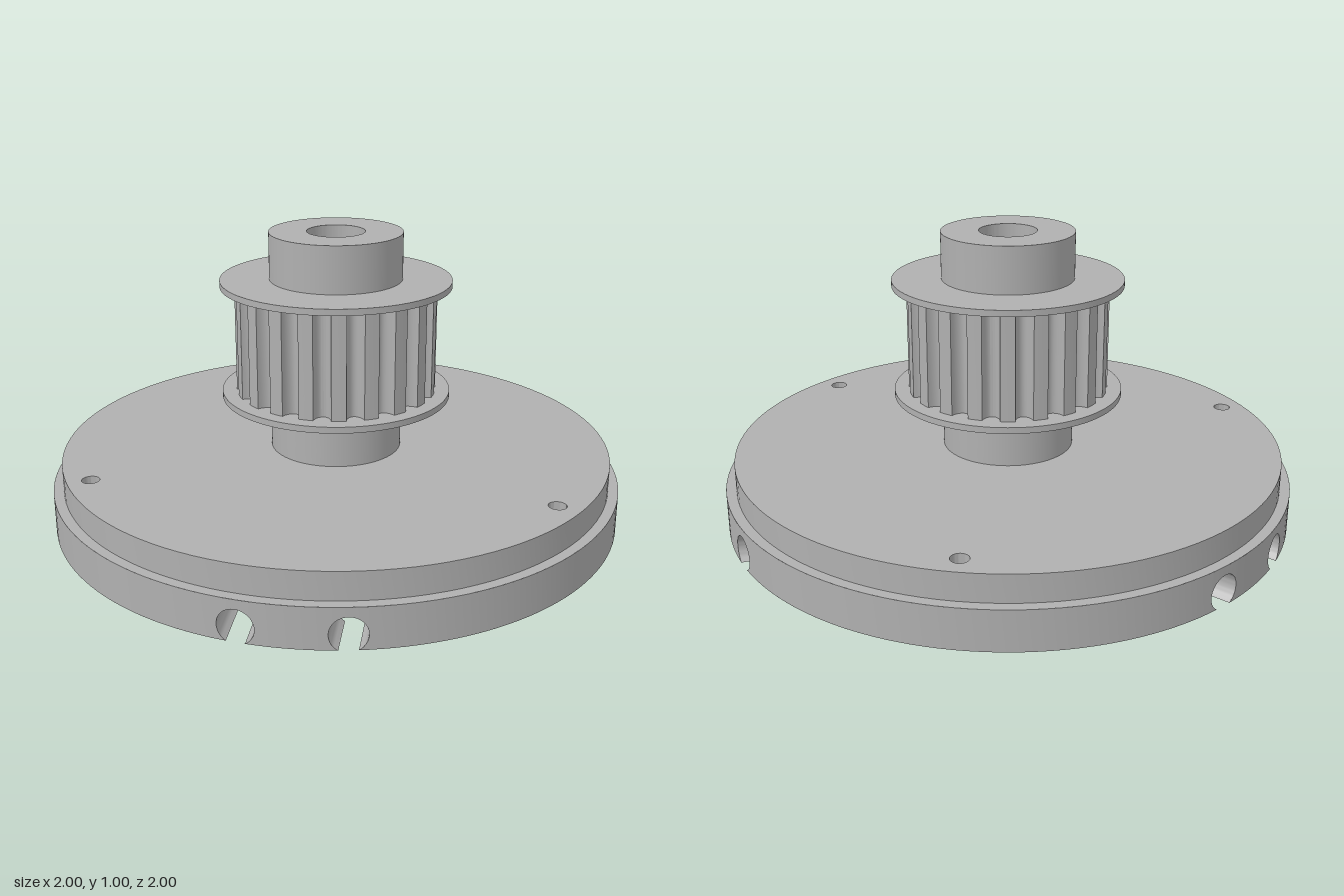
import * as THREE from 'three';
import { toCreasedNormals } from 'three/addons/utils/BufferGeometryUtils.js';
import { ParametricGeometry } from 'three/addons/geometries/ParametricGeometry.js';

const PI = Math.PI;
const grey = new THREE.MeshStandardMaterial({ color: 0xb0b0b0, side: THREE.DoubleSide });
grey.name = 'grey';

// Main sizes
const BORE = 0.1, RIM = 0.14, TOP = 0.235, STEP_R = 0.965, HUB = 0.23;
// Channels: radius, side offset, centre height, inner end
const CR = 0.058, CV = 0.165, CY = 0.05, C_END = 0.55;
const LIP = Math.sqrt(CR * CR - CY * CY);          // half width of the opening underneath
const LIP_A = Math.atan2(-CY, LIP);                // angle of the outer lip
// Shallow box between the channels, deep pocket inside it
const BOX0 = 0.53, BOX1 = 0.83;
const DEEP = { v: 0.1, u0: 0.58, u1: 0.77, y: 0.13 };

function add(parent, name, geometry) {
  const mesh = new THREE.Mesh(geometry, grey);
  mesh.name = name;
  parent.add(mesh);
  return mesh;
}

const lathe = pts => toCreasedNormals(
  new THREE.LatheGeometry(pts.map(p => new THREE.Vector2(...p)), 120), 0.5);

const patch = (fn, nu, nv) => toCreasedNormals(new ParametricGeometry(fn, nu, nv), 0.5);

const circlePath = (x, y, r) => new THREE.Path().absarc(x, y, r, 0, 2 * PI, false);

const shapeOf = pts => new THREE.Shape(pts.map(p => new THREE.Vector2(...p)));

// Flat face looking down at height y; shape coordinates are x and z
const downFace = (shape, y) => new THREE.ShapeGeometry(shape, 48).rotateX(PI / 2).translate(0, y, 0);

// Strip of the outer rim; angle(s) runs around, low(s) and high(s) bound its height
const rimStrip = (angle, low, high, n) => patch((s, t, p) => {
  const a = angle(s);
  p.set(Math.sin(a), low(s) + (high(s) - low(s)) * t, Math.cos(a));
}, n, 1);

function wall(parent, name, w, h, x, y, z, ry) {
  const m = add(parent, name, new THREE.PlaneGeometry(w, h));
  m.position.set(x, y, z);
  m.rotation.y = ry;
}

// Underside with three notched slots
function makeUnderside() {
  const pts = [], edge = CV + LIP, uRim = Math.sqrt(1 - edge * edge), a0 = Math.asin(edge);
  const half = [[edge, uRim], [edge, C_END], [CV, C_END], [CV, BOX0]];
  const slot = [...half.map(([v, u]) => [-v, u]), ...half.slice().reverse()];
  for (let k = 0; k < 3; k++) {
    const f = k * 2 * PI / 3, c = Math.cos(f), s = Math.sin(f);
    slot.forEach(([v, u]) => pts.push([v * c + u * s, -v * s + u * c]));
    for (let i = 1; i < 40; i++) {
      const a = f + a0 + (2 * PI / 3 - 2 * a0) * i / 40;
      pts.push([Math.sin(a), Math.cos(a)]);
    }
  }
  const shape = shapeOf(pts);
  shape.holes.push(circlePath(0, 0, BORE));
  return downFace(shape, 0);
}

// Half of a slot: one round channel with its rim opening
function makeChannel() {
  const g = new THREE.Group();
  g.name = 'channel';
  const tube = (a1, uStart, uEnd) => patch((s, t, p) => {
    const a = LIP_A + (a1 - LIP_A) * t;
    const v = CV + CR * Math.cos(a), u0 = uStart, u1 = uEnd ?? Math.sqrt(1 - v * v);
    p.set(v, CY + CR * Math.sin(a), u0 + (u1 - u0) * s);
  }, 1, 40);
  add(g, 'channelInnerBore', tube(PI, C_END, BOX1));
  add(g, 'channelOuterBore', tube(PI - LIP_A, BOX1));

  const end = new THREE.CircleGeometry(CR, 36, -PI / 2, 1.5 * PI);
  const pos = end.attributes.position;
  for (let i = 0; i < pos.count; i++) pos.setY(i, Math.max(pos.getY(i), -CY));
  add(g, 'channelEnd', end.translate(CV, CY, C_END));
  wall(g, 'boxSide', C_END - BOX0, CY, CV, CY / 2, (BOX0 + C_END) / 2, -PI / 2);

  const angle = s => Math.asin(CV - CR * Math.cos(PI * s));
  const h = s => CR * Math.sin(PI * s);
  add(g, 'rimBelowChannel', rimStrip(angle, () => 0, s => Math.max(0, CY - h(s)), 32));
  add(g, 'rimAboveChannel', rimStrip(angle, s => CY + h(s), () => RIM, 32));
  return g;
}

// Complete slot, pointing along +z
function makeSlot() {
  const g = new THREE.Group();
  g.name = 'slot';
  const right = makeChannel(), left = makeChannel();
  left.scale.x = -1;
  g.add(right, left);

  // Rim between the channels and on to the next slot
  const aIn = Math.asin(CV - CR), aOut = Math.asin(CV + CR);
  add(g, 'rimBetweenChannels', rimStrip(s => -aIn + 2 * aIn * s, () => 0, () => RIM, 8));
  add(g, 'rimWall', rimStrip(s => aOut + (2 * PI / 3 - 2 * aOut) * s, () => 0, () => RIM, 40));

  // Land between the channels at the rim
  const lv = CV - LIP, land = [[-lv, BOX1], [lv, BOX1]];
  for (let i = 0; i <= 8; i++) {
    const v = lv - 2 * lv * i / 8;
    land.push([v, Math.sqrt(1 - v * v)]);
  }
  add(g, 'land', downFace(shapeOf(land), 0));

  const face = new THREE.Shape();
  face.moveTo(-lv, 0);
  face.lineTo(lv, 0);
  face.absarc(CV, CY, CR, PI - LIP_A, PI, true);
  face.lineTo(-CV + CR, CY);
  face.absarc(-CV, CY, CR, 0, LIP_A, true);
  add(g, 'landInnerWall', new THREE.ShapeGeometry(face).rotateY(PI).translate(0, 0, BOX1));

  // Shallow box
  wall(g, 'boxEndWall', 2 * CV, CY, 0, CY / 2, BOX0, 0);
  const cv = CV - CR, { v, u0, u1, y } = DEEP;
  const ceiling = shapeOf([[-CV, BOX0], [CV, BOX0], [CV, C_END], [cv, C_END], [cv, BOX1],
    [-cv, BOX1], [-cv, C_END], [-CV, C_END]]);
  const deep = [[-v, u0], [-v, u1], [v, u1], [v, u0]];
  ceiling.holes.push(new THREE.Path(deep.map(p => new THREE.Vector2(...p))));
  add(g, 'boxCeiling', downFace(ceiling, CY));

  // Deep pocket
  const ym = (CY + y) / 2, um = (u0 + u1) / 2;
  add(g, 'pocketCeiling', downFace(shapeOf(deep), y));
  wall(g, 'pocketInnerWall', 2 * v, y - CY, 0, ym, u0, 0);
  wall(g, 'pocketOuterWall', 2 * v, y - CY, 0, ym, u1, PI);
  for (const s of [-1, 1]) wall(g, 'pocketSideWall', u1 - u0, y - CY, s * v, ym, um, -s * PI / 2);
  return g;
}

// Toothed belt wheel with rounded grooves
function makeTeeth(y0, y1) {
  const N = 20, R = 0.35, gw = 0.03, depth = 0.04, pts = [];
  for (let i = 0; i < N; i++) {
    const a = i * 2 * PI / N;
    for (let j = 0; j <= 10; j++) {
      const q = PI * j / 10, r = R - depth * Math.sin(q), b = a - (gw / R) * Math.cos(q);
      pts.push([r * Math.cos(b), r * Math.sin(b)]);
    }
    const mid = a + PI / N;
    pts.push([R * Math.cos(mid), R * Math.sin(mid)]);
  }
  const shape = shapeOf(pts);
  shape.holes.push(circlePath(0, 0, HUB));
  const geo = new THREE.ExtrudeGeometry(shape, { depth: y1 - y0, bevelEnabled: false, curveSegments: 32 });
  return toCreasedNormals(geo.rotateX(-PI / 2).translate(0, y0, 0), 0.6);
}

export function createModel() {
  const model = new THREE.Group();
  model.name = 'pulleyWithBasePlate';

  // Base disc
  add(model, 'underside', makeUnderside());
  for (let k = 0; k < 3; k++) {
    const slot = makeSlot();
    slot.rotation.y = k * 2 * PI / 3;
    model.add(slot);
  }
  add(model, 'discStep', lathe([[1, RIM], [STEP_R, RIM], [STEP_R, TOP]]));

  // Top face with three blind pin holes
  const top = new THREE.Shape().absarc(0, 0, STEP_R, 0, 2 * PI, false);
  top.holes.push(circlePath(0, 0, BORE));
  for (let k = 0; k < 3; k++) {
    const a = PI / 2 + k * 2 * PI / 3, x = 0.885 * Math.cos(a), y = 0.885 * Math.sin(a);
    top.holes.push(circlePath(x, y, 0.03));
    add(model, 'pinHole', lathe([[0.03, TOP], [0.03, TOP - 0.09], [0, TOP - 0.09]]).translate(x, 0, -y));
  }
  add(model, 'discTop', new THREE.ShapeGeometry(top, 60).rotateX(-PI / 2).translate(0, TOP, 0));

  // Hub with through bore
  add(model, 'hub', lathe([[HUB, TOP], [HUB, 1.005], [BORE, 1.005], [BORE, 0]]));

  // Belt wheel and its flanges
  add(model, 'teeth', makeTeeth(0.44, 0.825));
  for (const y of [0.425, 0.82]) {
    add(model, 'flange', lathe([[HUB, y], [0.4, y], [0.4, y + 0.022], [HUB, y + 0.022]]));
  }
  return model;
}
